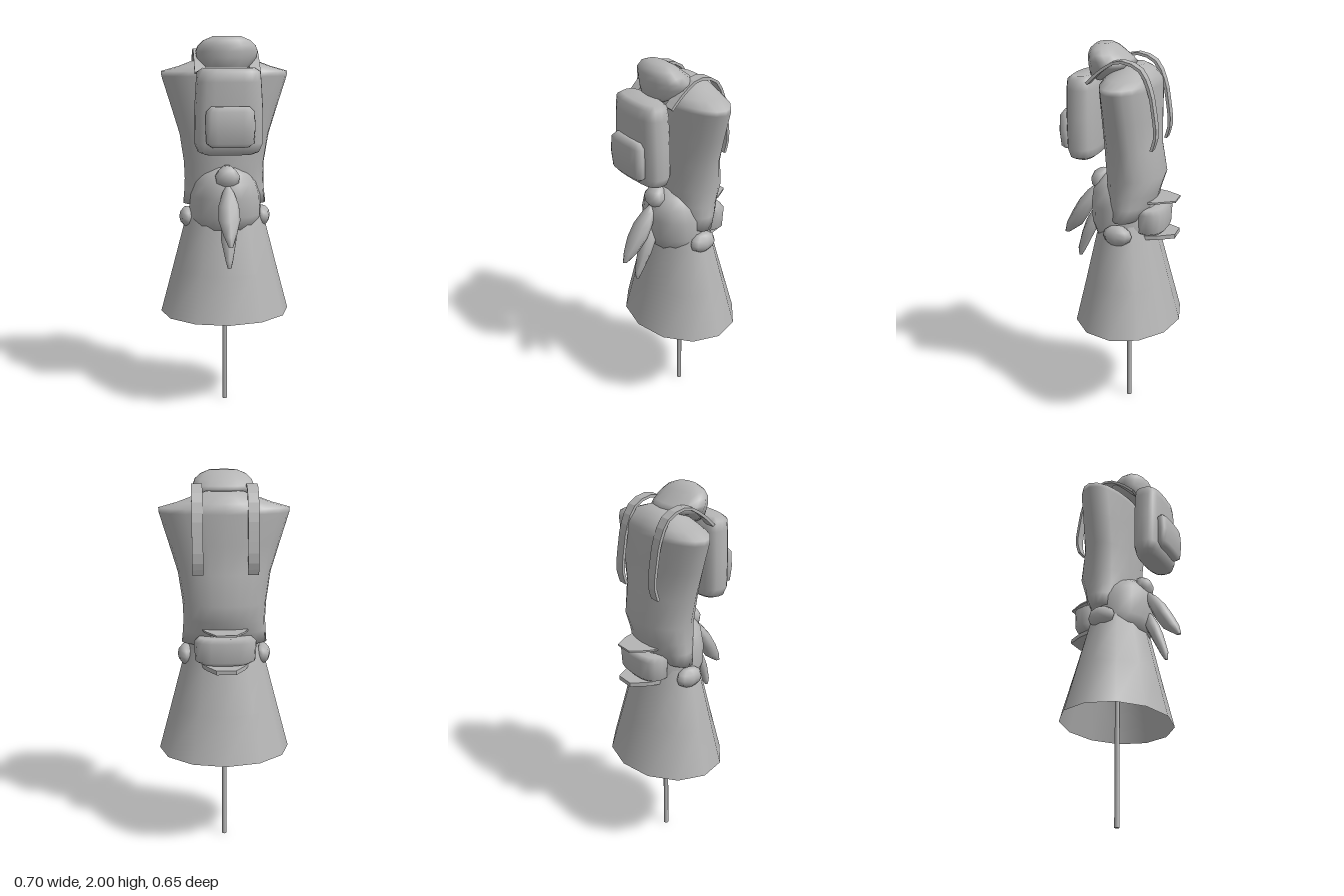
import * as THREE from 'three';

const grey = new THREE.MeshStandardMaterial({ color: 0xb4b4b4, side: THREE.DoubleSide });
grey.name = 'plain grey';

// Stacks rounded cross-sections [y, halfWidth, zBack, zFront]; power > 2 makes them boxier.
function loft(sections, { sides = 16, power = 2, caps = true } = {}) {
  const pos = [], idx = [];
  const bend = v => Math.sign(v) * Math.pow(Math.abs(v), 2 / power);
  for (const [y, rx, z0, z1] of sections) {
    for (let i = 0; i < sides; i++) {
      const a = (i / sides) * Math.PI * 2;
      pos.push(rx * bend(Math.sin(a)), y, (z0 + z1) / 2 + ((z1 - z0) / 2) * bend(Math.cos(a)));
    }
  }
  for (let s = 0; s < sections.length - 1; s++) {
    for (let i = 0; i < sides; i++) {
      const a = s * sides + i, b = s * sides + ((i + 1) % sides);
      idx.push(a, b, b + sides, a, b + sides, a + sides);
    }
  }
  if (caps) {
    const last = sections.length - 1;
    for (const s of [0, last]) {
      const [y, , z0, z1] = sections[s];
      const c = pos.length / 3;
      pos.push(0, y, (z0 + z1) / 2);
      for (let i = 0; i < sides; i++) {
        const a = s * sides + i, b = s * sides + ((i + 1) % sides);
        if (s === 0) idx.push(c, b, a); else idx.push(c, a, b);
      }
    }
  }
  const g = new THREE.BufferGeometry();
  g.setAttribute('position', new THREE.Float32BufferAttribute(pos, 3));
  g.setIndex(idx);
  g.computeVertexNormals();
  return g;
}

// Flat strap of given width along a path of [z, y] points
function strapGeometry(path, width, thick) {
  const curve = new THREE.CatmullRomCurve3(path.map(([z, y]) => new THREE.Vector3(0, y, z)));
  const pts = curve.getPoints(16), outer = [], inner = [];
  pts.forEach((p, i) => {
    const t = curve.getTangent(i / 16);
    outer.push(new THREE.Vector2(p.z, p.y));
    inner.unshift(new THREE.Vector2(p.z + t.y * thick, p.y - t.z * thick));
  });
  const g = new THREE.ExtrudeGeometry(new THREE.Shape([...outer, ...inner]), { depth: width, bevelEnabled: false });
  g.translate(0, 0, -width / 2);
  g.rotateY(-Math.PI / 2); // shape x becomes z
  return g;
}

export function createModel() {
  const model = new THREE.Group();
  const add = (name, geometry, x = 0, y = 0, z = 0) => {
    const m = new THREE.Mesh(geometry, grey);
    m.name = name;
    m.position.set(x, y, z);
    model.add(m);
    return m;
  };

  // Stand and open skirt
  add('pole', new THREE.CylinderGeometry(0.013, 0.013, 1, 10), 0, 0.5, -0.045);
  add('skirt', loft([
    [0.53, 0.35, -0.328, 0.24], [0.78, 0.283, -0.26, 0.18],
    [1.02, 0.22, -0.195, 0.125], [1.1, 0.195, -0.175, 0.1],
  ], { sides: 12, caps: false }));

  // Torso with sloping shoulders
  add('torso', loft([
    [1.13, 0.222, -0.15, 0.035], [1.2, 0.215, -0.19, 0.05], [1.26, 0.212, -0.205, 0.06],
    [1.35, 0.215, -0.235, 0.068], [1.5, 0.237, -0.205, 0.072], [1.65, 0.282, -0.2, 0.076],
    [1.8, 0.328, -0.195, 0.08], [1.825, 0.33, -0.19, 0.078], [1.85, 0.24, -0.18, 0.06],
    [1.88, 0.16, -0.16, 0.03], [1.905, 0.09, -0.12, -0.02],
  ], { sides: 20 }));

  // Waist sash, bulging at the front
  add('sash', loft([
    [1.01, 0.18, -0.19, 0.125], [1.08, 0.193, -0.195, 0.15], [1.18, 0.188, -0.195, 0.155],
    [1.25, 0.165, -0.18, 0.148], [1.3, 0.13, -0.16, 0.115], [1.335, 0.07, -0.1, 0.08],
  ]));
  add('sashKnot', loft([
    [1.24, 0.03, 0.09, 0.14], [1.265, 0.06, 0.075, 0.16], [1.3, 0.066, 0.07, 0.165],
    [1.33, 0.045, 0.07, 0.15], [1.35, 0.018, 0.075, 0.12],
  ], { sides: 10 }));
  add('upperTail', loft([
    [0.97, 0.012, 0.295, 0.325], [1.02, 0.034, 0.225, 0.315], [1.09, 0.056, 0.18, 0.28],
    [1.16, 0.052, 0.145, 0.24], [1.22, 0.03, 0.125, 0.19], [1.25, 0.01, 0.13, 0.155],
  ], { sides: 8 }));
  add('lowerTail', loft([
    [0.84, 0.01, 0.228, 0.246], [0.88, 0.02, 0.205, 0.25], [0.98, 0.04, 0.155, 0.225],
    [1.05, 0.035, 0.12, 0.2], [1.12, 0.015, 0.11, 0.16],
  ], { sides: 8 }));

  // Bow at the back with two thin flaps
  add('backBow', loft([
    [1.045, 0.12, -0.24, -0.1], [1.065, 0.155, -0.257, -0.1],
    [1.165, 0.16, -0.262, -0.1], [1.185, 0.135, -0.24, -0.1],
  ], { power: 2.6 }));
  const flap = new THREE.Shape([[-0.12, 0.16], [0.12, 0.16], [0.1, 0.225], [0.05, 0.305], [-0.05, 0.305], [-0.1, 0.225]]
    .map(p => new THREE.Vector2(...p)));
  for (const [name, y, depth] of [['upperFlap', 1.215, 0.009], ['lowerFlap', 1.02, 0.022]]) {
    const g = new THREE.ExtrudeGeometry(flap, { depth, bevelEnabled: false });
    g.rotateX(-Math.PI / 2);
    add(name, g, 0, y, 0);
  }

  // Mirrored hip knots and shoulder straps
  const strap = strapGeometry([[0.125, 1.815], [0.06, 1.875], [-0.03, 1.925], [-0.13, 1.895],
    [-0.18, 1.8], [-0.2, 1.7], [-0.213, 1.58], [-0.195, 1.51]], 0.055, 0.014);
  for (const [side, s] of [['left', 1], ['right', -1]]) {
    const knot = add(side + 'HipKnot', new THREE.SphereGeometry(1, 8, 6), s * 0.2, 1.06, -0.04);
    knot.scale.set(0.045, 0.055, 0.077);
    add(side + 'Strap', strap, s * 0.138, 0, 0);
  }

  // Pack, pocket and rolled bundle on top
  add('pack', loft([
    [1.42, 0.12, 0.135, 0.225], [1.435, 0.155, 0.115, 0.25], [1.48, 0.174, 0.106, 0.262],
    [1.64, 0.172, 0.105, 0.265], [1.78, 0.163, 0.106, 0.265], [1.83, 0.158, 0.115, 0.258],
    [1.848, 0.13, 0.135, 0.235],
  ], { sides: 20, power: 2.8 }));
  add('pocket', loft([
    [1.465, 0.09, 0.25, 0.285], [1.485, 0.118, 0.24, 0.302], [1.56, 0.123, 0.24, 0.31],
    [1.64, 0.12, 0.24, 0.305], [1.665, 0.095, 0.25, 0.285],
  ], { power: 3 }));
  add('bundle', loft([
    [1.82, 0.06, 0.075, 0.125], [1.85, 0.115, 0.02, 0.155], [1.895, 0.155, -0.085, 0.163],
    [1.925, 0.16, -0.055, 0.163], [1.955, 0.148, -0.015, 0.161], [1.98, 0.12, 0.015, 0.15],
    [2.0, 0.07, 0.05, 0.125],
  ], { sides: 14 }));

  return model;
}
